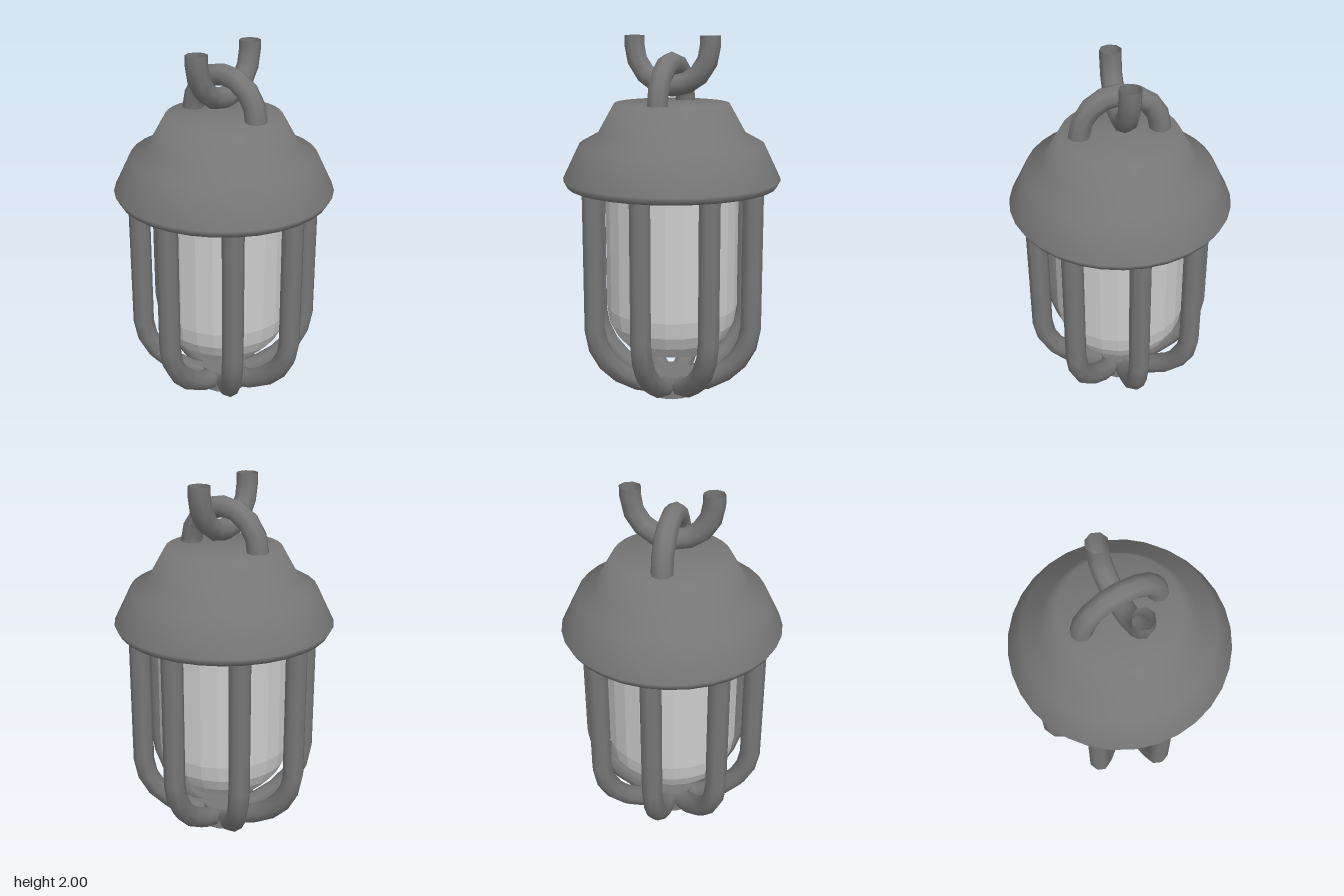
import * as THREE from 'three';

// Curve that runs straight from point to point, one ring per point
class PointPath extends THREE.Curve {
  constructor(points) { super(); this.points = points; }
  getPoint(t) {
    const n = this.points.length - 1;
    const f = Math.min(Math.max(t, 0), 1) * n;
    const i = Math.min(Math.floor(f), n - 1);
    return this.points[i].clone().lerp(this.points[i + 1], f - i);
  }
  getPointAt(u) { return this.getPoint(u); }
  getTangentAt(u) { return this.getTangent(u); }
}

const TUBE = 0.058;
const v2 = ([x, y]) => new THREE.Vector2(x, y);
const rod = (pts) => new THREE.TubeGeometry(
  new PointPath(pts.map(([x, y]) => new THREE.Vector3(x, y, 0))), pts.length - 1, TUBE, 8, false);

// Half ring; side +1 arches up, -1 hangs down; legs run on to legY
function halfRing(centreY, radius, side, legY) {
  const pts = [[radius, legY]];
  for (let i = 0; i <= 8; i++) {
    const a = (i / 8) * Math.PI;
    pts.push([radius * Math.cos(a), centreY + side * radius * Math.sin(a)]);
  }
  pts.push([-radius, legY]);
  return rod(pts);
}

export function createModel() {
  const model = new THREE.Group();
  model.name = 'hangingLantern';
  const metal = new THREE.MeshStandardMaterial({ color: 0x777777, side: THREE.DoubleSide });
  const glass = new THREE.MeshStandardMaterial({ color: 0xcccccc, flatShading: true });

  const add = (name, geometry, material, parent = model) => {
    const mesh = new THREE.Mesh(geometry, material);
    mesh.name = name;
    parent.add(mesh);
    return mesh;
  };

  // Stepped cap
  const capProfile = [[0, 1.2], [0.57, 1.2], [0.592, 1.24], [0.5, 1.43], [0.4, 1.485], [0.31, 1.645], [0, 1.645]];
  add('cap', new THREE.LatheGeometry(capProfile.map(v2), 32), metal);

  // Faceted glass with a rounded bottom
  const glassProfile = [[0, 0.25], [0.14, 0.253], [0.25, 0.29], [0.315, 0.36], [0.35, 0.43], [0.365, 0.52], [0.365, 1.21]];
  add('glass', new THREE.LatheGeometry(glassProfile.map(v2), 24), glass);

  // Cage of eight bars curving in to a hub
  const cage = new THREE.Group();
  cage.name = 'cage';
  model.add(cage);
  const barGeometry = rod([[0.462, 1.22], [0.462, 0.43], [0.442, 0.33], [0.39, 0.235],
    [0.31, 0.155], [0.2, 0.09], [0.11, 0.064], [0, 0.062]]);
  for (let i = 0; i < 8; i++) {
    add('cageBar', barGeometry, metal, cage).rotation.y = (i * Math.PI) / 4;
  }
  const hub = add('cageHub', new THREE.CylinderGeometry(0.13, 0.14, 0.12, 16), metal, cage);
  hub.position.y = 0.06;

  // Fixed loop on the cap and the open chain link through it
  add('capLoop', halfRing(1.645, 0.213, 1, 1.6), metal);
  add('chainLink', halfRing(1.95, 0.215, -1, 2), metal).rotation.y = Math.PI / 2;

  return model;
}
